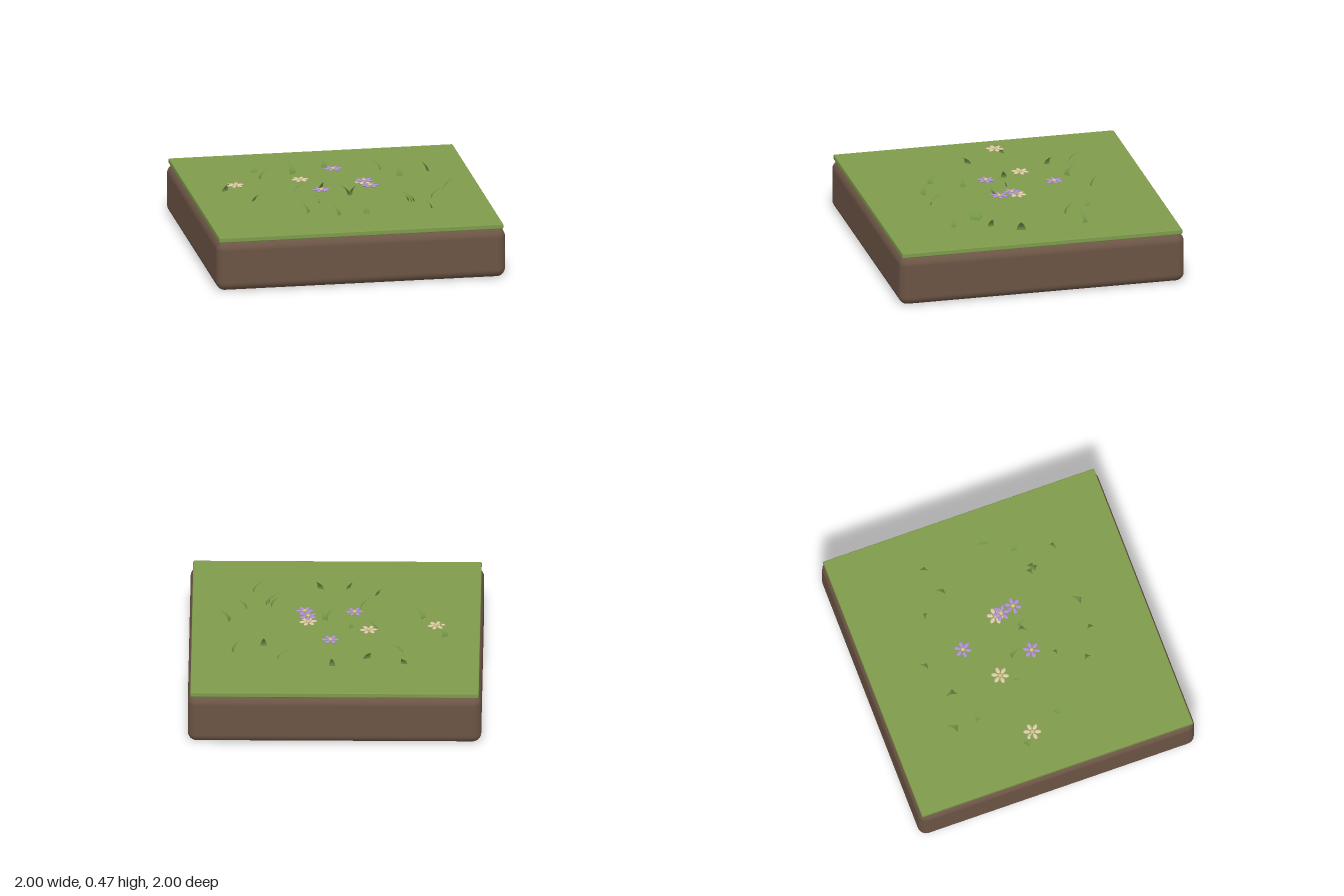
import * as THREE from 'three';
import { RoundedBoxGeometry } from 'three/addons/geometries/RoundedBoxGeometry.js';

function material(name, color, side = THREE.FrontSide) {
  const m = new THREE.MeshStandardMaterial({ color, side });
  m.name = name;
  return m;
}

function mesh(name, geometry, mat, parent) {
  const m = new THREE.Mesh(geometry, mat);
  m.name = name;
  parent.add(m);
  return m;
}

// Flat tapering blade that bends along +z as it rises
function bladeGeometry(width, height, lean) {
  const geo = new THREE.PlaneGeometry(1, 1, 2, 6);
  const p = geo.attributes.position;
  for (let i = 0; i < p.count; i++) {
    const t = p.getY(i) + 0.5;
    p.setXYZ(i, p.getX(i) * width * (1 - Math.pow(t, 1.4)), t * height, lean * t * t);
  }
  geo.computeVertexNormals();
  return geo;
}

export function createModel() {
  const soil = material('soil brown', 0x6b5444);
  const turf = material('turf green', 0x7f9b4c);
  const grass = material('blade green', 0x76964a, THREE.DoubleSide);
  const cream = material('cream petal', 0xdcc9a8);
  const purple = material('purple petal', 0xac90d0);
  const pollen = material('flower centre', 0xd6bf78);

  const model = new THREE.Group();
  model.name = 'grassTile';

  // Ground slabs
  mesh('soilBlock', new RoundedBoxGeometry(2, 0.345, 2, 5, 0.06), soil, model).position.y = 0.1725;
  mesh('turfSlab', new RoundedBoxGeometry(1.966, 0.035, 1.966, 2, 0.006), turf, model).position.y = 0.3605;
  const top = 0.376;

  // Grass blades: base x, base z, tip x, tip z, width
  const blades = [
    [-0.47, -0.54, -0.445, -0.61, 0.05], [-0.215, -0.465, -0.255, -0.545, 0.055],
    [0.02, -0.575, 0.025, -0.63, 0.045], [-0.46, -0.385, -0.38, -0.4, 0.04],
    [0.39, -0.46, 0.32, -0.485, 0.035], [0.49, -0.28, 0.49, -0.345, 0.045],
    [0.7, -0.37, 0.645, -0.345, 0.04], [-0.745, -0.135, -0.705, -0.075, 0.055],
    [-0.28, -0.04, -0.2, -0.015, 0.04], [-0.105, -0.015, -0.095, 0.06, 0.035],
    [0.07, 0.11, 0.005, 0.145, 0.04], [0.08, 0.11, 0.105, 0.165, 0.035],
    [-0.595, 0.135, -0.53, 0.195, 0.05], [-0.165, 0.275, -0.23, 0.275, 0.035],
    [0.725, 0.085, 0.8, 0.105, 0.065], [0.61, 0.27, 0.69, 0.275, 0.045],
    [0.445, 0.31, 0.38, 0.32, 0.05], [0.48, 0.33, 0.38, 0.345, 0.045],
    [0.46, 0.36, 0.39, 0.34, 0.045], [-0.275, 0.48, -0.33, 0.435, 0.045],
    [-0.08, 0.575, -0.12, 0.53, 0.045], [0.11, 0.57, 0.145, 0.5, 0.05],
    [0.57, 0.52, 0.49, 0.535, 0.035],
  ];
  const grassGroup = new THREE.Group();
  grassGroup.name = 'grassBlades';
  model.add(grassGroup);
  blades.forEach(([x, z, tx, tz, width], i) => {
    const height = 0.075 + 0.015 * ((i * 3) % 4) / 3;
    const blade = mesh('grassBlade', bladeGeometry(width, height, Math.hypot(tx - x, tz - z)), grass, grassGroup);
    blade.position.set(x, top, z);
    blade.rotation.y = Math.atan2(tx - x, tz - z);
  });

  // Flowers: x, y, z, petal material, turn
  const flowers = [
    [0.035, 0.446, -0.315, purple, 0], [-0.225, 0.432, -0.14, cream, 0.1],
    [-0.685, 0.434, -0.075, cream, 0.2], [0.19, 0.43, -0.02, cream, 0.15],
    [0.19, 0.453, 0.02, purple, 0.5], [-0.125, 0.432, 0.125, purple, 0.05],
    [0.215, 0.443, 0.115, purple, 0],
  ];
  const petalGeo = new THREE.SphereGeometry(1, 12, 8).scale(0.024, 0.006, 0.014).translate(0.038, 0, 0);
  const centreGeo = new THREE.SphereGeometry(1, 12, 8).scale(0.015, 0.009, 0.015);
  for (const [x, y, z, mat, turn] of flowers) {
    const flower = new THREE.Group();
    flower.name = 'flower';
    flower.position.set(x, y, z);
    flower.rotation.y = turn;
    for (let i = 0; i < 6; i++) {
      mesh('petal', petalGeo, mat, flower).rotation.y = i * Math.PI / 3;
    }
    mesh('flowerCentre', centreGeo, pollen, flower).position.y = 0.002;
    model.add(flower);
  }
  return model;
}
